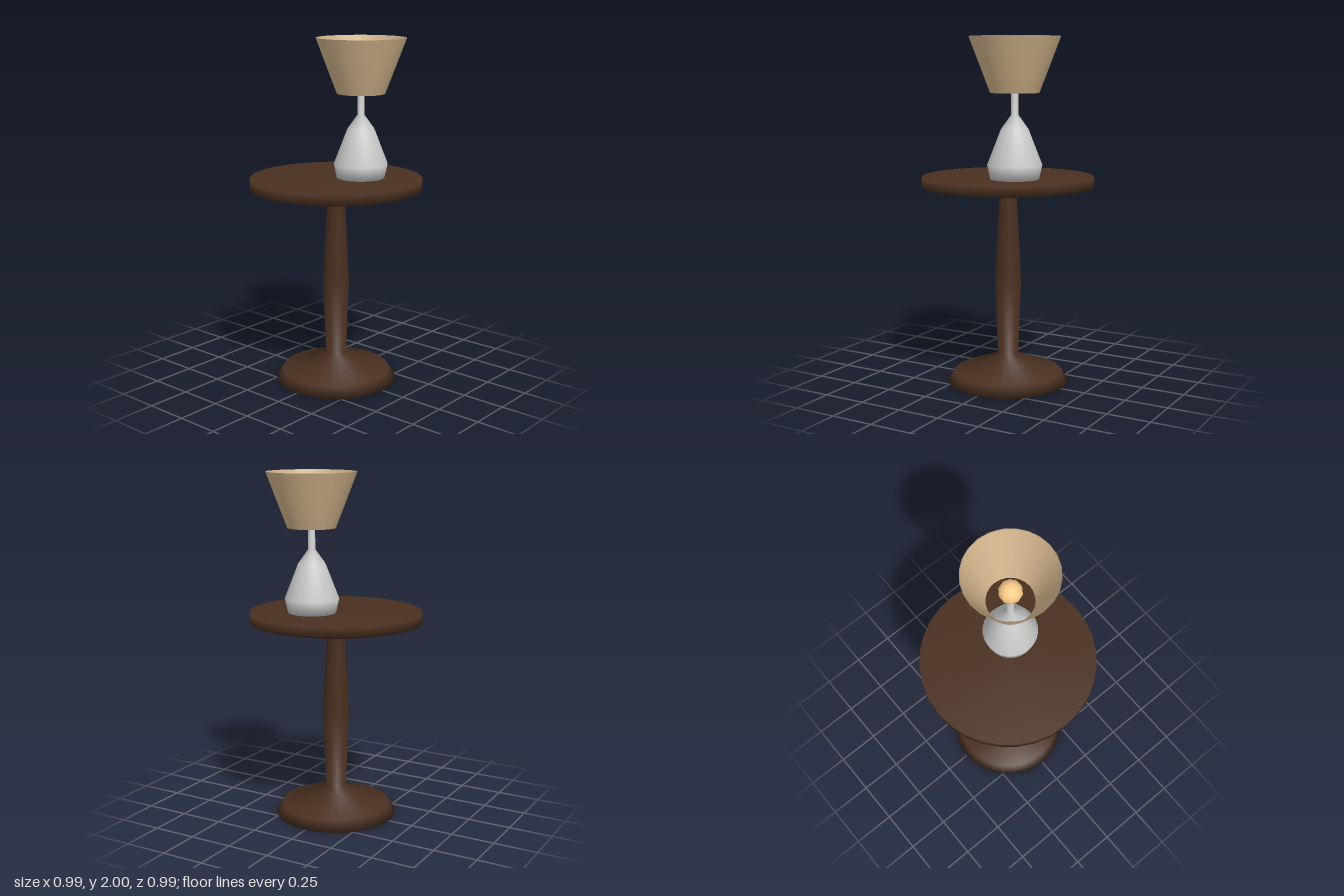
import * as THREE from 'three';

const wood = new THREE.MeshStandardMaterial({ color: 0x4a3020, side: THREE.DoubleSide });
const ceramic = new THREE.MeshStandardMaterial({ color: 0xe0e0dc, side: THREE.DoubleSide });
const fabric = new THREE.MeshStandardMaterial({ color: 0xd2b48c, side: THREE.DoubleSide });
const glow = new THREE.MeshStandardMaterial({ color: 0xffcc88 });

// Turned part from [radius, height] pairs, listed bottom to top
function turned(name, profile, segments, material) {
  const points = profile.map(([r, y]) => new THREE.Vector2(r, y));
  const mesh = new THREE.Mesh(new THREE.LatheGeometry(points, segments), material);
  mesh.name = name;
  return mesh;
}

export function createModel() {
  const model = new THREE.Group();
  model.name = 'tableWithLamp';

  // Pedestal table
  const table = new THREE.Group();
  table.name = 'table';
  table.add(
    turned('pedestal', [
      [0, 0], [0.352, 0], [0.315, 0.06], [0.06, 0.16],
      [0.077, 0.6], [0.05, 1.11], [0.1, 1.155],
    ], 32, wood),
    turned('tableTop', [[0, 1.153], [0.495, 1.153], [0.495, 1.21], [0, 1.21]], 32, wood),
  );

  // Lamp standing off-centre toward the back left
  const lamp = new THREE.Group();
  lamp.name = 'lamp';
  lamp.position.set(0.1, 0, -0.1);
  lamp.add(
    turned('lampBase', [
      [0, 1.21], [0.137, 1.21], [0.155, 1.29], [0.077, 1.49],
      [0.02, 1.57], [0.02, 1.76], [0, 1.76],
    ], 24, ceramic),
    // Hollow shade, open at both ends
    turned('lampShade', [
      [0.13, 1.69], [0.137, 1.69], [0.255, 2], [0.25, 2], [0.13, 1.69],
    ], 24, fabric),
  );

  const bulb = new THREE.Mesh(new THREE.SphereGeometry(0.065, 10, 8), glow);
  bulb.name = 'bulb';
  bulb.rotation.y = Math.PI / 2;
  bulb.position.y = 1.8;
  lamp.add(bulb);

  model.add(table, lamp);
  return model;
}
